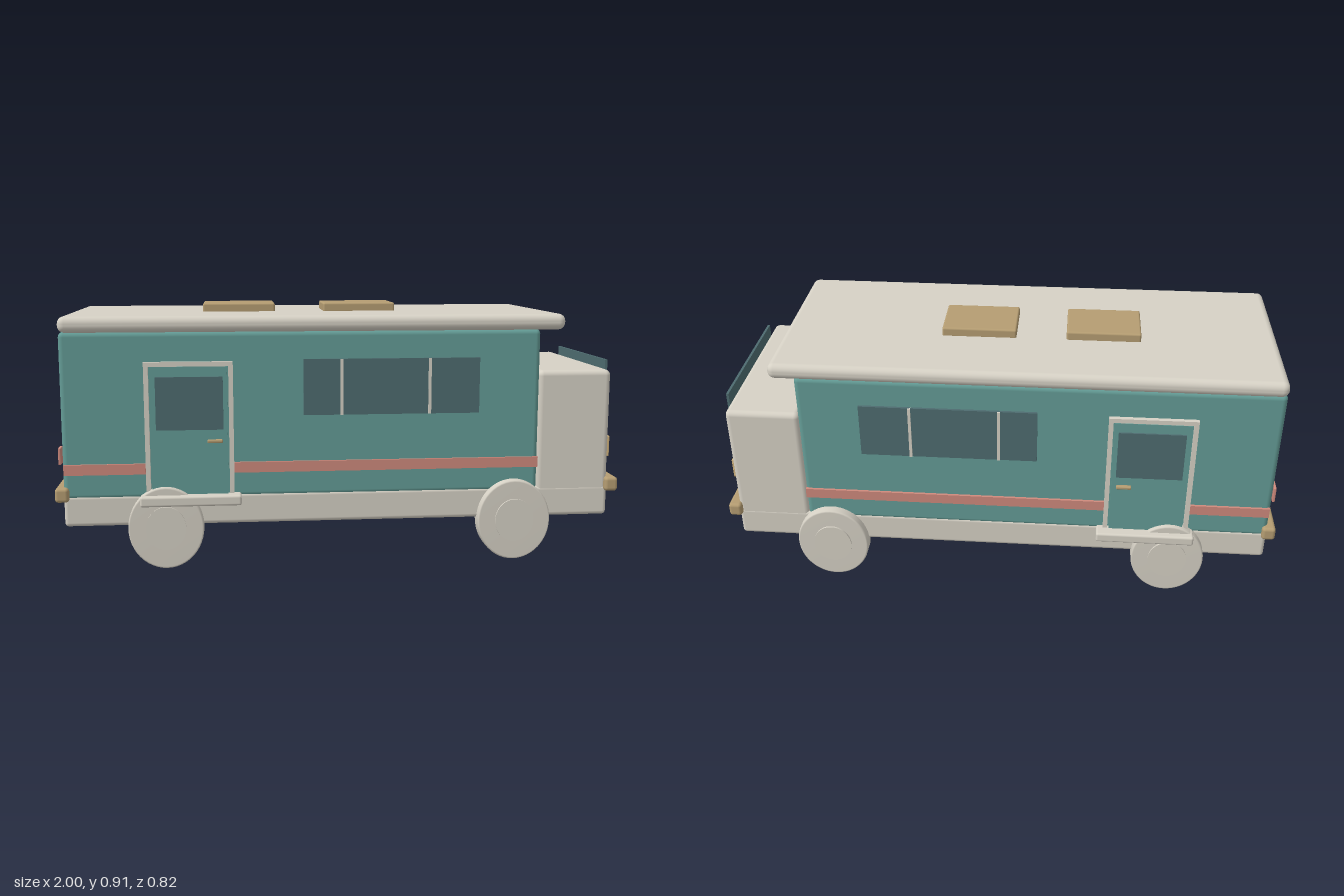
import * as THREE from 'three';
import { RoundedBoxGeometry } from 'three/addons/geometries/RoundedBoxGeometry.js';

const paint = (name, color) => {
  const m = new THREE.MeshStandardMaterial({ color });
  m.name = name;
  return m;
};

export function createModel() {
  const cream = paint('cream', 0xd6d1c5);
  const teal = paint('teal', 0x649c96);
  const glass = paint('glass', 0x4e6c70);
  const coral = paint('coral', 0xcf8a7d);
  const tan = paint('tan', 0xb59d72);
  const amber = paint('amber', 0xd2b47e);

  const model = new THREE.Group();
  model.name = 'camperVan';

  // Box given by its limits on each axis; r > 0 rounds the edges
  const box = (name, mat, [x0, x1], [y0, y1], [z0, z1], r = 0, parent = model) => {
    const size = [x1 - x0, y1 - y0, z1 - z0];
    const geo = r ? new RoundedBoxGeometry(...size, 3, r) : new THREE.BoxGeometry(...size);
    const mesh = new THREE.Mesh(geo, mat);
    mesh.name = name;
    mesh.position.set((x0 + x1) / 2, (y0 + y1) / 2, (z0 + z1) / 2);
    parent.add(mesh);
    return mesh;
  };

  // Main shell
  box('chassis', cream, [-0.972, 0.966], [0.15, 0.26], [-0.354, 0.354], 0.014);
  box('body', teal, [-0.972, 0.704], [0.245, 0.828], [-0.354, 0.354], 0.018);
  box('cab', cream, [0.7, 0.966], [0.151, 0.68], [-0.353, 0.353], 0.02);
  box('roof', cream, [-0.972, 0.79], [0.825, 0.881], [-0.37, 0.37], 0.025);
  box('rearVent', tan, [-0.488, -0.225], [0.875, 0.911], [-0.099, 0.099], 0.007);
  box('frontVent', tan, [-0.047, 0.218], [0.875, 0.911], [-0.099, 0.099], 0.007);

  // Front and rear fittings
  box('windshield', glass, [0.968, 0.977], [0.458, 0.709], [-0.276, 0.276]);
  box('frontBumper', tan, [0.952, 1], [0.24, 0.291], [-0.373, 0.373], 0.012);
  box('rearBumper', tan, [-1, -0.952], [0.24, 0.291], [-0.373, 0.373], 0.012);
  for (const s of [1, -1]) {
    const z = s * 0.236, t = s * 0.277;
    box('headlight', amber, [0.984, 0.997], [0.35, 0.427], [z - 0.042, z + 0.042], 0.004);
    box('taillight', coral, [-0.994, -0.984], [0.36, 0.42], [t - 0.026, t + 0.026], 0.003);
  }

  // Wheel profile with softened rims, turned about the axle
  const wheelProfile = [[0, -0.03], [0.138, -0.03], [0.143, -0.028], [0.145, -0.023],
    [0.145, 0.023], [0.143, 0.028], [0.138, 0.03], [0, 0.03]].map(p => new THREE.Vector2(...p));
  const tyreGeo = new THREE.LatheGeometry(wheelProfile, 48).rotateX(Math.PI / 2);
  const hubGeo = new THREE.CylinderGeometry(0.077, 0.077, 0.012, 40).rotateX(Math.PI / 2);

  // Fittings repeated on both long sides; the far side keeps the same x positions
  const addSide = (s) => {
    const side = new THREE.Group();
    side.name = s > 0 ? 'frontSide' : 'backSide';
    model.add(side);
    const part = (name, mat, xs, ys, z0, z1, r = 0) =>
      box(name, mat, xs, ys, s > 0 ? [z0, z1] : [-z1, -z0], r, side);

    // Side stripe, broken by the door
    part('rearStripe', coral, [-0.968, -0.688], [0.334, 0.371], 0.35, 0.363);
    part('frontStripe', coral, [-0.383, 0.702], [0.334, 0.371], 0.35, 0.363);

    // Long window with two dividers
    part('sideWindow', glass, [-0.138, 0.484], [0.534, 0.73], 0.354, 0.363);
    for (const x of [-0.004, 0.306]) {
      part('windowDivider', cream, [x - 0.005, x + 0.005], [0.534, 0.73], 0.357, 0.368);
    }

    // Door with frame, window, handle and step
    for (const x of [-0.679, -0.39]) {
      part('doorPost', cream, [x - 0.008, x + 0.008], [0.25, 0.724], 0.35, 0.37);
    }
    part('doorHeader', cream, [-0.687, -0.382], [0.709, 0.725], 0.35, 0.37);
    part('door', teal, [-0.666, -0.403], [0.25, 0.709], 0.35, 0.372);
    part('doorWindow', glass, [-0.648, -0.417], [0.49, 0.674], 0.37, 0.378);
    part('doorHandle', tan, [-0.473, -0.42], [0.444, 0.456], 0.37, 0.386, 0.004);
    part('step', cream, [-0.707, -0.358], [0.227, 0.263], 0.35, 0.41, 0.008);

    // Wheels, slightly taller than wide
    for (const x of [-0.621, 0.615]) {
      const wheel = new THREE.Group();
      wheel.name = x < 0 ? 'rearWheel' : 'frontWheel';
      const tyre = new THREE.Mesh(tyreGeo, cream);
      tyre.name = 'tyre';
      const hub = new THREE.Mesh(hubGeo, cream);
      hub.name = 'hubcap';
      hub.position.z = s * 0.03;
      wheel.add(tyre, hub);
      wheel.position.set(x, 0.146, s * 0.356);
      wheel.scale.x = 0.905;
      side.add(wheel);
    }
  };
  addSide(1);
  addSide(-1);

  return model;
}
